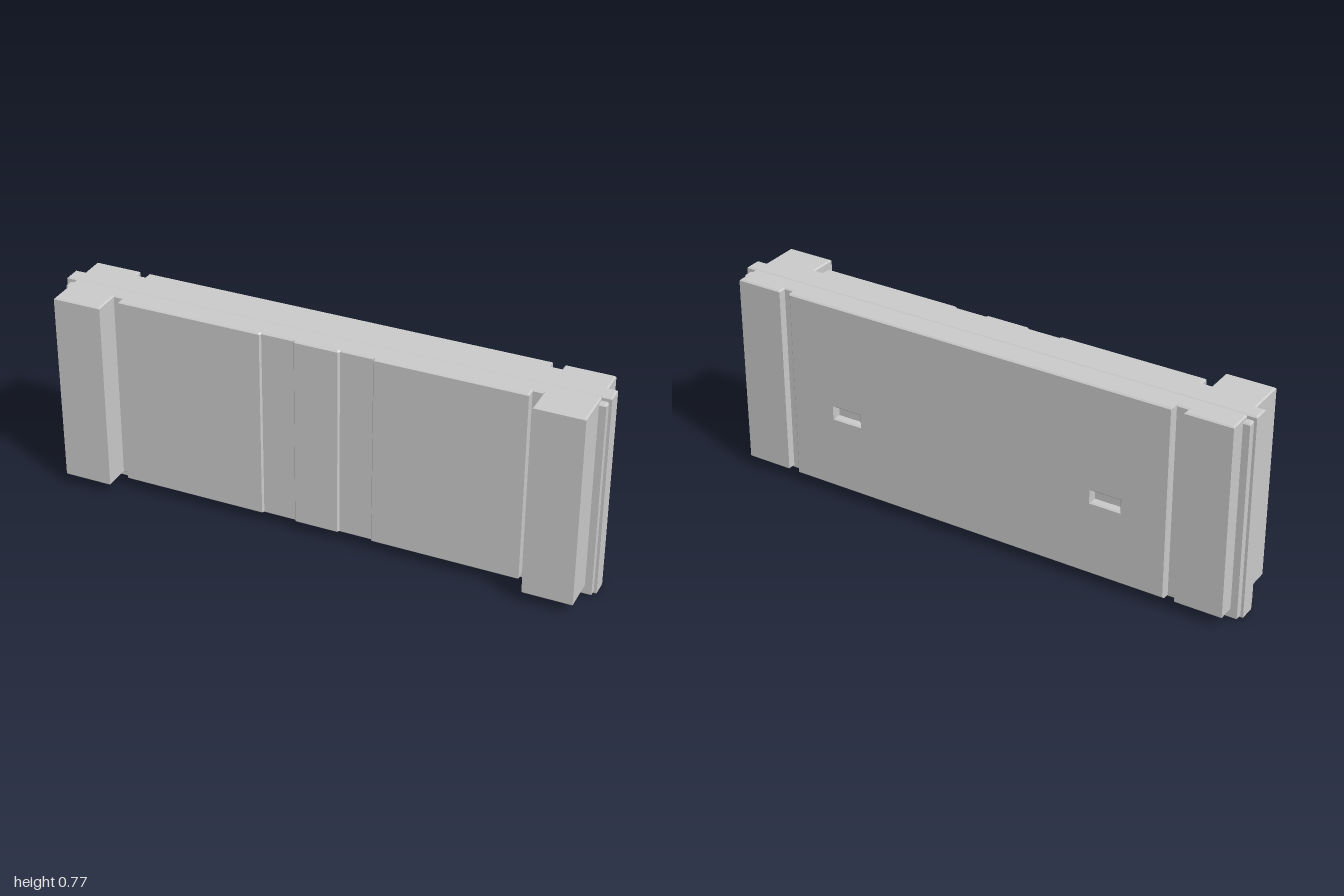
import * as THREE from 'three';

const material = new THREE.MeshStandardMaterial({ color: 0xcccccc, flatShading: true });
const BEVEL = 0.005;
const BODY = [0.04, 0.763]; // bottom and top of the thick body

const shapeOf = (points) => new THREE.Shape(points.map(([a, b]) => new THREE.Vector2(a, b)));
const rect = (x0, x1, y0, y1) => [[x0, y0], [x1, y0], [x1, y1], [x0, y1]];

// Extrusion with a small chamfer kept inside the given outline and depth
function extrude(shape, depth) {
  return new THREE.ExtrudeGeometry(shape, {
    depth: depth - 2 * BEVEL, bevelEnabled: true, bevelSegments: 1,
    bevelSize: BEVEL, bevelThickness: BEVEL, bevelOffset: -BEVEL,
  }).translate(0, 0, BEVEL);
}

// Plan outline of [x, z] points raised from y0 to y1
function planBlock(points, y0, y1) {
  const geometry = extrude(shapeOf(points.map(([x, z]) => [x, -z])), y1 - y0);
  return geometry.rotateX(-Math.PI / 2).translate(0, y0, 0);
}

export function createModel() {
  const group = new THREE.Group();
  const add = (name, geometry) => {
    const mesh = new THREE.Mesh(geometry, material);
    mesh.name = name;
    group.add(mesh);
  };

  // Stepped rim around the sides and bottom
  add('rimTongue', planBlock(rect(-1, 1, -0.06, 0), 0, 0.766));
  add('rimFlange', planBlock(rect(-0.99, 0.99, -0.087, 0.025), 0.007, 0.75));

  // Front body: tall end posts, grooves and a panel with two shallow bands
  const half = [
    [0.08, 0.083], [0.085, 0.075], [0.205, 0.075], [0.21, 0.083],
    [0.75, 0.083], [0.75, 0.05], [0.785, 0.05], [0.785, 0.15],
    [0.965, 0.15], [0.965, -0.03],
  ];
  const mirrored = half.map(([x, z]) => [-x, z]).reverse();
  add('frontBody', planBlock([...half, ...mirrored], ...BODY));

  // Back slab forms the floor of the grooves and slots
  add('backSlab', planBlock(rect(-0.965, 0.965, -0.12, -0.03), ...BODY));
  for (const side of [-1, 1]) {
    const [x0, x1] = side < 0 ? [-0.965, -0.79] : [0.79, 0.965];
    add(side < 0 ? 'backPostRight' : 'backPostLeft',
      planBlock(rect(x0, x1, -0.15, -0.05), ...BODY));
  }

  // Back panel with two slots
  const panel = shapeOf(rect(-0.75, 0.75, ...BODY));
  for (const x of [-0.52, 0.52]) {
    const slot = rect(x - 0.055, x + 0.055, 0.32, 0.365);
    panel.holes.push(new THREE.Path(slot.map(([a, b]) => new THREE.Vector2(a, b)).reverse()));
  }
  add('backPanel', extrude(panel, 0.05).translate(0, 0, -0.15));

  return group;
}
